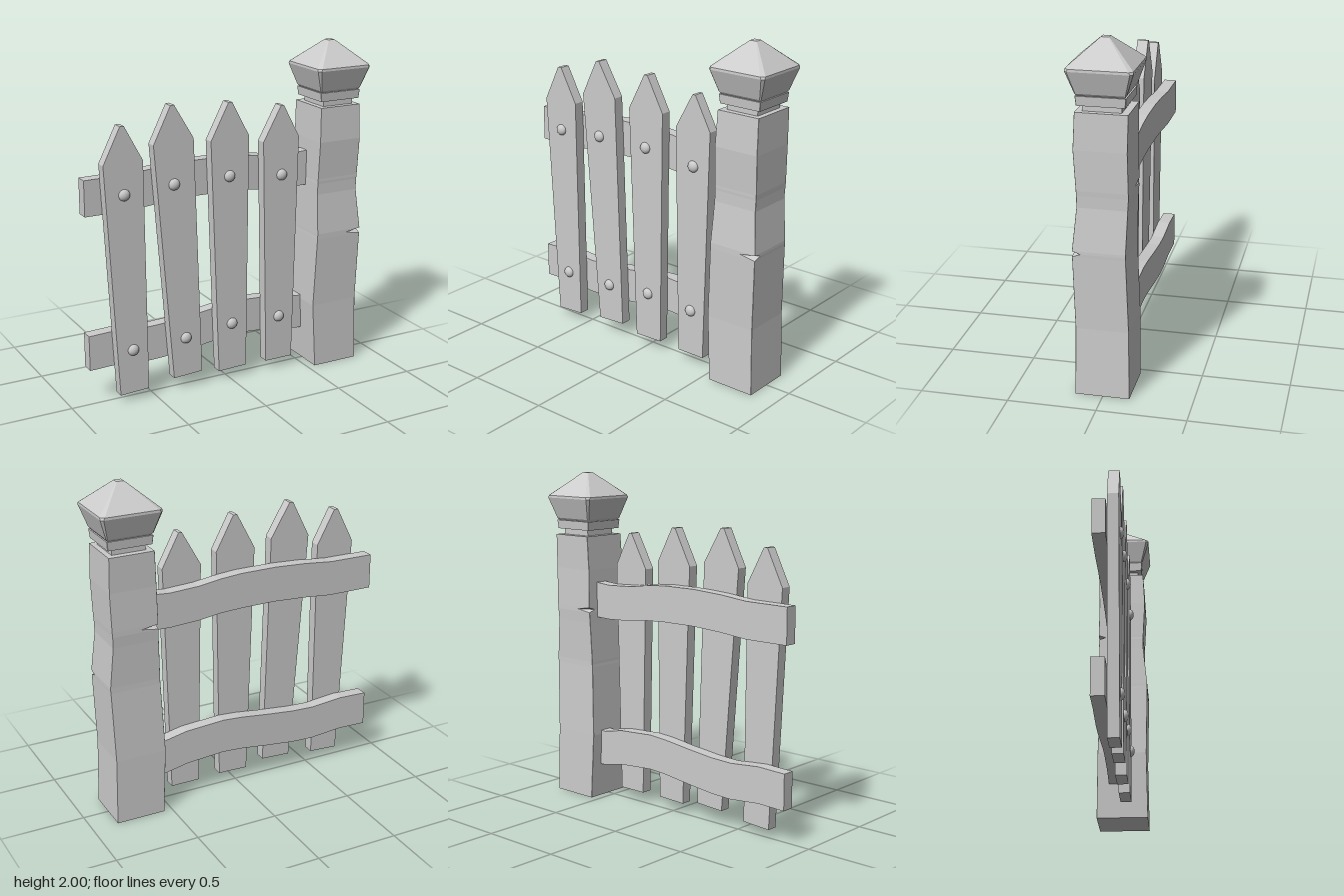
import * as THREE from 'three';

const material = new THREE.MeshStandardMaterial({ color: 0xcccccc, flatShading: true, side: THREE.DoubleSide });
const smooth = new THREE.MeshStandardMaterial({ color: 0xcccccc });

function addMesh(parent, name, geometry, mat = material) {
  const mesh = new THREE.Mesh(geometry, mat);
  mesh.name = name;
  parent.add(mesh);
  return mesh;
}

// Skin a stack of horizontal sections [{ y, pts: [[x, z], ...] }] with flat ends
function loft(sections) {
  const out = [];
  const tri = (a, b, c) => out.push(...a, ...b, ...c);
  const rings = sections.map(s => s.pts.map(([x, z]) => [x, s.y, z]));
  const n = rings[0].length;
  for (let k = 0; k < rings.length - 1; k++) {
    for (let i = 0; i < n; i++) {
      const j = (i + 1) % n, lo = rings[k], hi = rings[k + 1];
      tri(lo[i], lo[j], hi[j]);
      tri(lo[i], hi[j], hi[i]);
    }
  }
  const bottom = rings[0], top = rings[rings.length - 1];
  for (let i = 1; i < n - 1; i++) {
    tri(bottom[0], bottom[i + 1], bottom[i]);
    tri(top[0], top[i], top[i + 1]);
  }
  const g = new THREE.BufferGeometry();
  g.setAttribute('position', new THREE.Float32BufferAttribute(out, 3));
  g.computeVertexNormals();
  return g;
}

// Flat board cut from an outline in the xy plane
function board(points, z, depth) {
  const shape = new THREE.Shape(points.map(([x, y]) => new THREE.Vector2(x, y)));
  return new THREE.ExtrudeGeometry(shape, { depth, bevelEnabled: false }).translate(0, 0, z);
}

// Post section; f and b (0..1) cut the front-right and back-left corners
function postSection([y, xl, xr, zf, zb, f = 0, b = 0]) {
  const cx = v => 0.001 + 0.1 * v, cz = v => 0.001 + 0.045 * v;
  return { y, pts: [
    [xl, zf], [xr - cx(f), zf], [xr, zf - cz(f)],
    [xr, zb], [xl + cx(b), zb], [xl, zb + cz(b)],
  ] };
}

// Square section with chamfered corners
function capSection([y, h, c]) {
  return { y, pts: [
    [-h + c, h], [h - c, h], [h, h - c], [h, -h + c],
    [h - c, -h], [-h + c, -h], [-h, -h + c], [-h, h - c],
  ] };
}

export function createModel() {
  const model = new THREE.Group();
  model.name = 'fence';

  // Crooked post: y, left, right, front, back, front notch, back notch
  const post = new THREE.Group();
  post.name = 'post';
  model.add(post);
  addMesh(post, 'postShaft', loft([
    [0, 0.55, 0.845, 0.155, -0.15],
    [0.4, 0.53, 0.835, 0.15, -0.145],
    [0.825, 0.546, 0.847, 0.16, -0.132],
    [0.842, 0.547, 0.848, 0.16, -0.132, 1],
    [0.858, 0.547, 0.848, 0.16, -0.132],
    [1.1, 0.553, 0.826, 0.137, -0.14],
    [1.165, 0.554, 0.828, 0.137, -0.144],
    [1.18, 0.555, 0.829, 0.138, -0.144, 0, 1],
    [1.195, 0.555, 0.83, 0.138, -0.144],
    [1.42, 0.558, 0.835, 0.15, -0.14],
    [1.625, 0.565, 0.832, 0.14, -0.145],
  ].map(postSection)));

  // Neck, collar and pointed cap
  addMesh(post, 'postNeck', new THREE.BoxGeometry(0.2, 0.06, 0.21)).position.set(0.7, 1.64, 0);
  const collar = addMesh(post, 'postCollar', loft([[1.66, 0.13, 0.002], [1.712, 0.135, 0.002]].map(capSection)));
  const cap = addMesh(post, 'postCap', loft([
    [1.71, 0.125, 0.004], [1.725, 0.137, 0.006], [1.848, 0.179, 0.015],
    [1.862, 0.178, 0.02], [2, 0.022, 0.003],
  ].map(capSection)));
  collar.position.x = cap.position.x = 0.7;

  // Wavy rails: x, bottom, top
  const rails = {
    upperRail: [
      [-0.88, 1.135, 1.345], [-0.6, 1.135, 1.347], [-0.42, 1.152, 1.365], [-0.22, 1.163, 1.376],
      [0, 1.162, 1.375], [0.14, 1.155, 1.364], [0.27, 1.138, 1.345], [0.45, 1.128, 1.336], [0.58, 1.132, 1.346],
    ],
    lowerRail: [
      [-0.88, 0.21, 0.422], [-0.7, 0.215, 0.428], [-0.5, 0.197, 0.41], [-0.36, 0.202, 0.415],
      [-0.18, 0.222, 0.434], [0, 0.245, 0.456], [0.12, 0.252, 0.464], [0.36, 0.235, 0.449],
      [0.5, 0.206, 0.42], [0.58, 0.206, 0.426],
    ],
  };
  for (const [name, p] of Object.entries(rails)) {
    const outline = [...p.map(([x, lo]) => [x, lo]), ...p.map(([x, , hi]) => [x, hi]).reverse()];
    addMesh(model, name, board(outline, -0.075, 0.075));
  }

  // Leaning pickets with blunt points, each held by two domed nails
  const pickets = [
    { outline: [[-0.72, 0.045], [-0.54, 0.055], [-0.55, 1.435], [-0.66, 1.64], [-0.685, 1.64], [-0.79, 1.43]],
      nails: [[-0.668, 1.25], [-0.635, 0.315]] },
    { outline: [[-0.375, 0.08], [-0.19, 0.09], [-0.235, 1.525], [-0.355, 1.727], [-0.378, 1.725], [-0.485, 1.51]],
      nails: [[-0.36, 1.27], [-0.295, 0.323]] },
    { outline: [[-0.075, 0.06], [0.11, 0.066], [0.122, 1.5], [0.012, 1.705], [-0.012, 1.705], [-0.125, 1.49]],
      nails: [[-0.004, 1.272], [0.013, 0.355]] },
    { outline: [[0.25, 0.06], [0.43, 0.06], [0.46, 1.455], [0.355, 1.652], [0.335, 1.652], [0.22, 1.445]],
      nails: [[0.345, 1.235], [0.337, 0.34]] },
  ];
  const dome = new THREE.SphereGeometry(0.034, 20, 8, 0, Math.PI * 2, 0, Math.PI / 2)
    .scale(1, 0.7, 1).rotateX(Math.PI / 2);
  pickets.forEach(({ outline, nails }, i) => {
    const group = new THREE.Group();
    group.name = `picket${i + 1}`;
    model.add(group);
    addMesh(group, 'picketBoard', board(outline, 0, 0.065));
    for (const [x, y] of nails) addMesh(group, 'nailHead', dome, smooth).position.set(x, y, 0.065);
  });

  return model;
}
